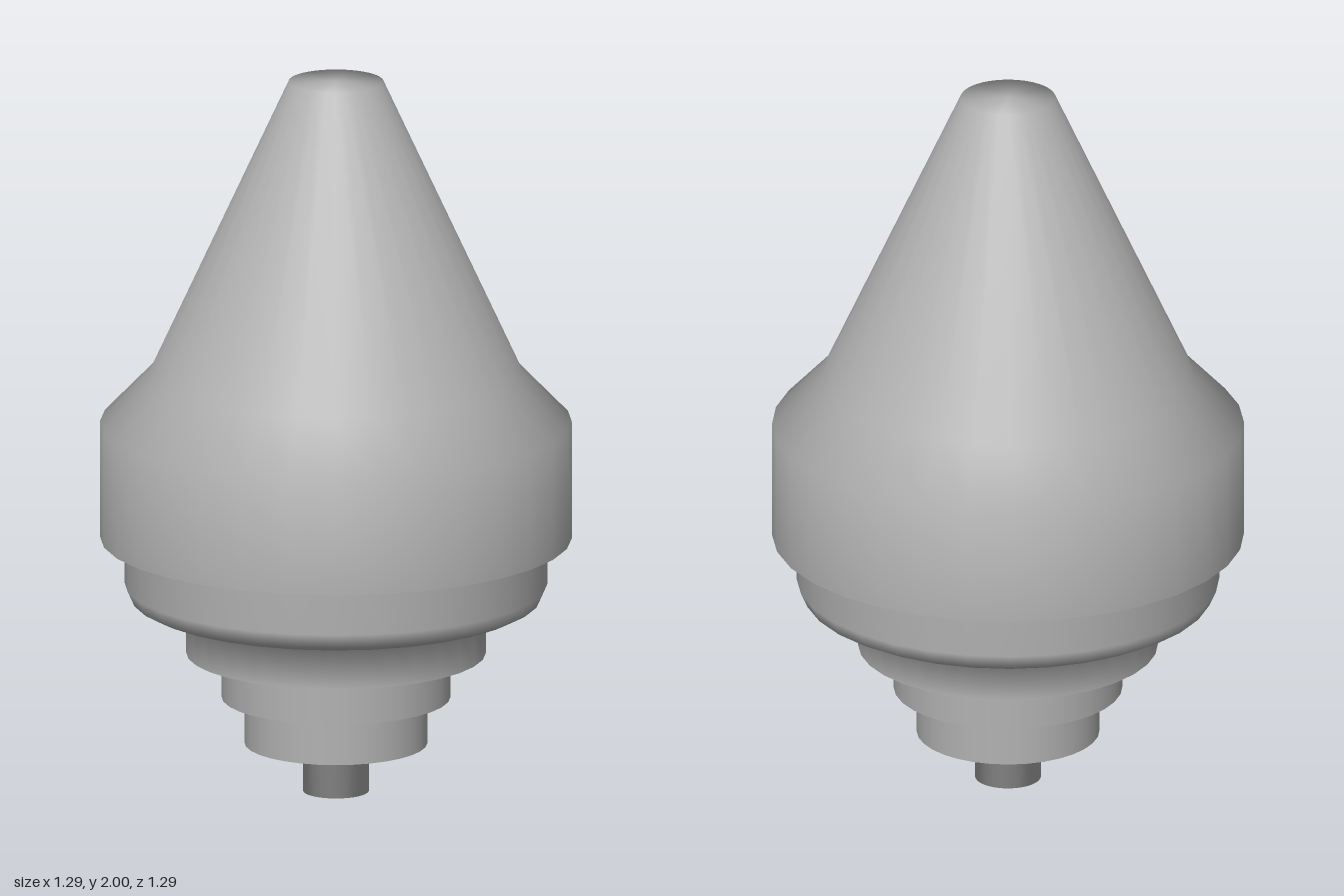
import * as THREE from 'three';

export function createModel() {
  const model = new THREE.Group();
  const grey = new THREE.MeshStandardMaterial({ color: 0xb2b2b2, side: THREE.DoubleSide });
  grey.name = 'plain grey';

  // Turns a profile of [radius, height] points, listed upwards, into a smooth part
  function turned(name, profile) {
    const points = profile.map(([r, y]) => new THREE.Vector2(r, y));
    const mesh = new THREE.Mesh(new THREE.LatheGeometry(points, 32), grey);
    mesh.name = name;
    model.add(mesh);
  }

  // Cone with a flat tip, shoulder and open skirt
  turned('coneAndSkirt', [
    [0.645, 0.715], [0.645, 1.04], [0.51, 1.18], [0.13, 2], [0, 2],
  ]);

  // Bevelled body and the collar hanging beneath it
  turned('bodyAndCollar', [
    [0.41, 0.39], [0.41, 0.522], [0.53, 0.53], [0.56, 0.545],
    [0.578, 0.585], [0.578, 1.03],
  ]);

  // Open sleeves stepping down towards the stem
  [['upperSleeve', 0.313, 0.265], ['lowerSleeve', 0.25, 0.135]].forEach(([name, r, bottom]) => {
    turned(name, [[r, bottom], [r, 0.525]]);
  });

  // Stem with its wider hub inside the lowest sleeve
  turned('stemAndHub', [
    [0, 0], [0.09, 0], [0.09, 0.165], [0.18, 0.17], [0.18, 0.525],
  ]);

  // Plate closing the inside of the collar
  const plate = new THREE.Mesh(new THREE.CircleGeometry(0.41, 32), grey);
  plate.name = 'innerPlate';
  plate.rotation.x = Math.PI / 2;
  plate.position.y = 0.522;
  model.add(plate);

  return model;
}
